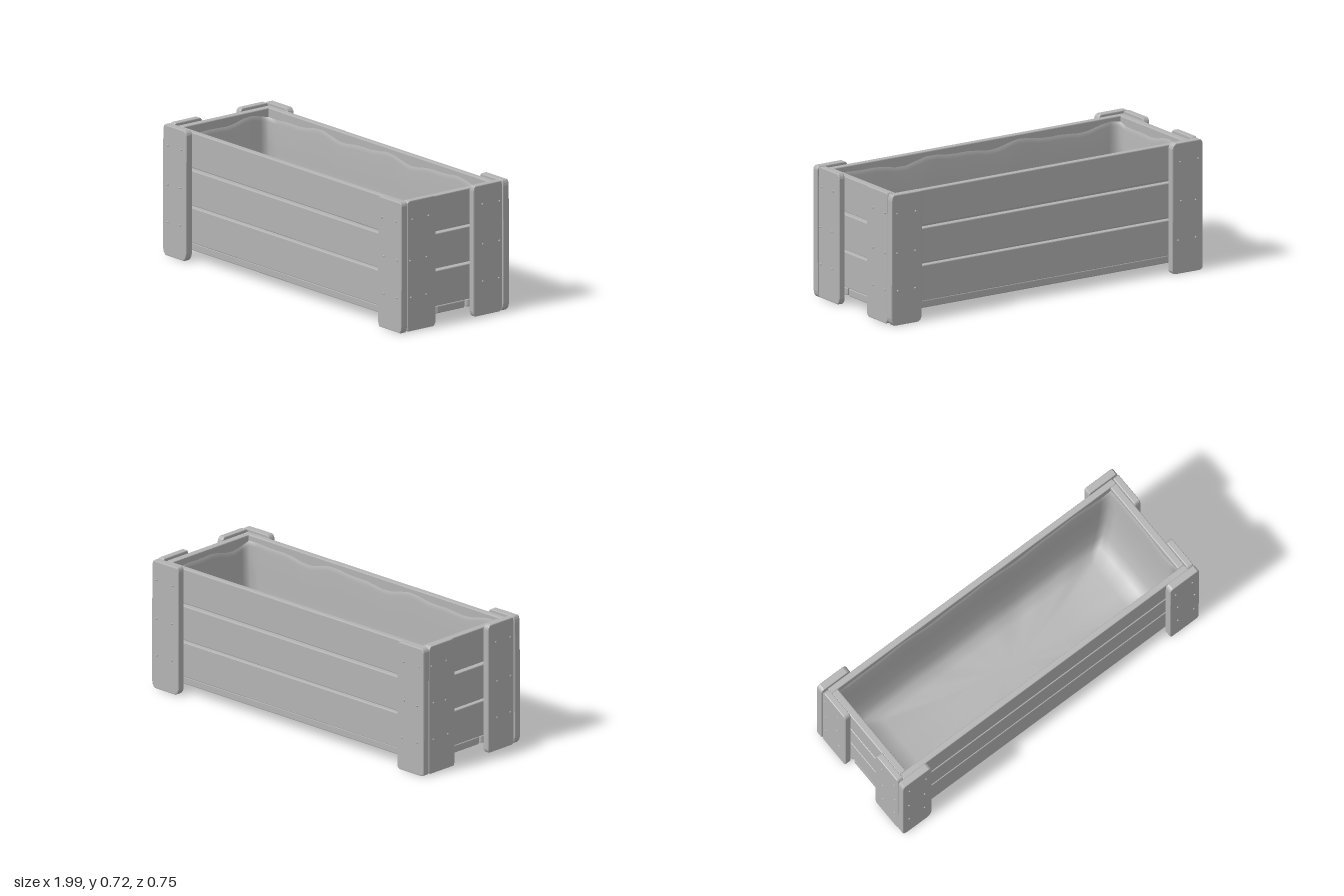
import * as THREE from 'three';

const wood = new THREE.MeshStandardMaterial({ color: 0xb4b4b4 });
wood.name = 'grey wood';
const cloth = new THREE.MeshStandardMaterial({ color: 0xb4b4b4, side: THREE.DoubleSide });
cloth.name = 'grey lining';

// Small seeded generator for the hand-hewn irregularity
let seed = 7;
const rand = () => {
  seed = (seed * 16807) % 2147483647;
  return seed / 2147483647;
};

// Board with worn corners and a softened rim, centred, thin along z
function boardGeometry(w, h, t, wear) {
  const bevel = 0.005;
  const shape = new THREE.Shape();
  const corners = [[-1, -1], [1, -1], [1, 1], [-1, 1]];
  corners.forEach(([sx, sy], i) => {
    const x = sx * w / 2, y = sy * h / 2;
    const cx = wear * (0.3 + 0.5 * rand()), cy = wear * (0.4 + rand());
    const alongX = [x - sx * cx, y], alongY = [x, y - sy * cy];
    const [a, b] = i % 2 ? [alongX, alongY] : [alongY, alongX];
    if (i === 0) shape.moveTo(...a);
    else shape.lineTo(...a);
    shape.quadraticCurveTo(x - sx * cx * 0.2, y - sy * cy * 0.2, ...b);
  });
  shape.closePath();
  const geo = new THREE.ExtrudeGeometry(shape, {
    depth: t - 2 * bevel, bevelThickness: bevel, bevelSize: bevel,
    bevelOffset: -bevel, bevelSegments: 2, curveSegments: 3,
  });
  return geo.translate(0, 0, bevel - t / 2);
}

function addBoard(group, name, size, position, rotation, wear) {
  const mesh = new THREE.Mesh(boardGeometry(...size, wear), wood);
  mesh.name = name;
  mesh.position.set(...position);
  mesh.rotation.set(...rotation);
  group.add(mesh);
}

const nailGeometry = new THREE.SphereGeometry(0.006, 8, 6);
function addNail(group, x, y, z) {
  const nail = new THREE.Mesh(nailGeometry, wood);
  nail.name = 'nail';
  nail.position.set(x, y, z);
  group.add(nail);
}

// Sagging lining: rectangular rings lofted from the rim down to the floor
function liningGeometry() {
  const rows = [ // half length, half width, height, waviness
    [0.916, 0.29, 0.665, 0.012], [0.905, 0.281, 0.64, 0.012],
    [0.9, 0.278, 0.5, 0.004], [0.875, 0.27, 0.32, 0.004],
    [0.84, 0.254, 0.2, 0.006], [0.79, 0.225, 0.145, 0.006],
    [0.7, 0.17, 0.122, 0.002], [0.4, 0.08, 0.112, 0], [0, 0, 0.11, 0],
  ];
  const ring = [];
  const nx = 28, nz = 10;
  for (let i = 0; i < nx; i++) ring.push([-1 + 2 * i / nx, 1]);
  for (let i = 0; i < nz; i++) ring.push([1, 1 - 2 * i / nz]);
  for (let i = 0; i < nx; i++) ring.push([1 - 2 * i / nx, -1]);
  for (let i = 0; i < nz; i++) ring.push([-1, -1 + 2 * i / nz]);
  const n = ring.length, pos = [], index = [];
  rows.forEach(([hx, hz, y, wave], r) => {
    ring.forEach(([u, v], i) => {
      const a = i / n * Math.PI * 2;
      const ripple = wave * (Math.sin(9 * a + 1) + 0.6 * Math.sin(17 * a));
      pos.push(u * hx, y + ripple, v * hz);
      if (r === rows.length - 1) return;
      const p = r * n + i, q = r * n + (i + 1) % n;
      index.push(p, p + n, q, q, p + n, q + n);
    });
  });
  const geo = new THREE.BufferGeometry();
  geo.setAttribute('position', new THREE.Float32BufferAttribute(pos, 3));
  geo.setIndex(index);
  geo.computeVertexNormals();
  return geo;
}

export function createModel() {
  seed = 7;
  const crate = new THREE.Group();
  crate.name = 'crate';
  const quarter = Math.PI / 2;

  // Three courses of boards around the four walls
  const courses = [[0.097, 0.292], [0.303, 0.496], [0.51, 0.705]];
  for (const [low, high] of courses) {
    const y = (low + high) / 2, h = high - low;
    for (const s of [-1, 1]) {
      addBoard(crate, s > 0 ? 'frontBoard' : 'backBoard',
        [1.91, h, 0.035], [0, y, s * 0.307], [0, 0, 0], 0.008);
      addBoard(crate, s > 0 ? 'leftEndBoard' : 'rightEndBoard',
        [0.58, h, 0.04], [s * 0.935, y, 0], [0, quarter, 0], 0.004);
    }
  }

  // Three floor boards and their nails
  for (const z of [-0.215, 0, 0.215]) {
    addBoard(crate, 'floorBoard', [1.91, 0.206, 0.042], [0, 0.076, z], [quarter, 0, 0], 0.02);
    for (const x of [-0.93, 0.93]) {
      for (const dz of [-0.065, 0.065]) addNail(crate, x, 0.055, z + dz);
    }
  }

  // Corner posts: one board on the long wall, one on the end wall
  for (const sx of [-1, 1]) {
    for (const sz of [-1, 1]) {
      const post = new THREE.Group();
      post.name = `${sz > 0 ? 'front' : 'back'}${sx > 0 ? 'Left' : 'Right'}Post`;
      addBoard(post, 'longWallPost', [0.195, 0.717, 0.042],
        [sx * 0.897, 0.36, sz * 0.347], [0, 0, 0.006 * (rand() - 0.5)], 0.03);
      addBoard(post, 'endWallPost', [0.195, 0.717, 0.037],
        [sx * 0.973, 0.362, sz * 0.2255], [0, quarter, 0], 0.025);
      for (const y of [0.19, 0.395, 0.612]) {
        for (const d of [0, 1]) {
          const j = 0.02 * (rand() - 0.5);
          addNail(post, sx * (0.845 + 0.11 * d + j), y + j / 2, sz * 0.368);
          addNail(post, sx * 0.991, y - j / 2, sz * (0.19 + 0.108 * d + j));
        }
      }
      crate.add(post);
    }
  }

  // Soft lining inside
  const lining = new THREE.Mesh(liningGeometry(), cloth);
  lining.name = 'lining';
  crate.add(lining);

  return crate;
}
